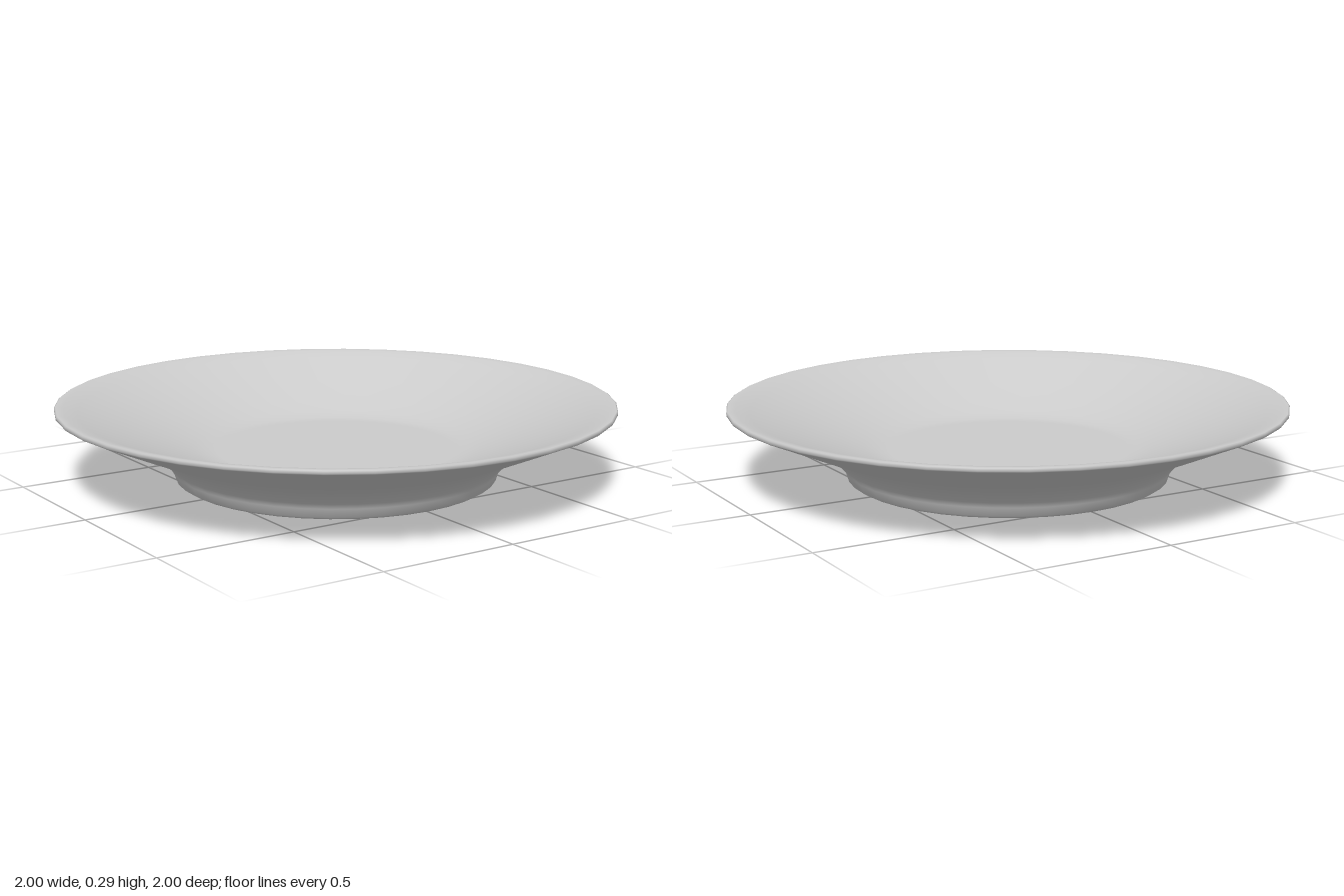
import * as THREE from 'three';

export function createModel() {
  const group = new THREE.Group();
  group.name = 'dish';
  const material = new THREE.MeshStandardMaterial({ color: 0xcccccc });

  // Closed section: underside, foot, flared outer wall, lip, inner wall, floor
  const section = [
    [0, 0], [0.54, 0], [0.56, 0.003], [0.578, 0.014],
    [0.588, 0.045], [0.6, 0.065], [0.655, 0.12],
    [0.8, 0.183], [0.93, 0.24], [0.995, 0.268], [1, 0.273],
    [1, 0.283], [0.995, 0.286], [0.97, 0.283], [0.92, 0.266],
    [0.75, 0.202], [0.6, 0.15], [0.52, 0.125], [0.47, 0.113], [0.43, 0.11], [0, 0.11],
  ].map(([r, y]) => new THREE.Vector2(r, y));

  const plate = new THREE.Mesh(new THREE.LatheGeometry(section, 40), material);
  plate.name = 'plate';
  group.add(plate);
  return group;
}
